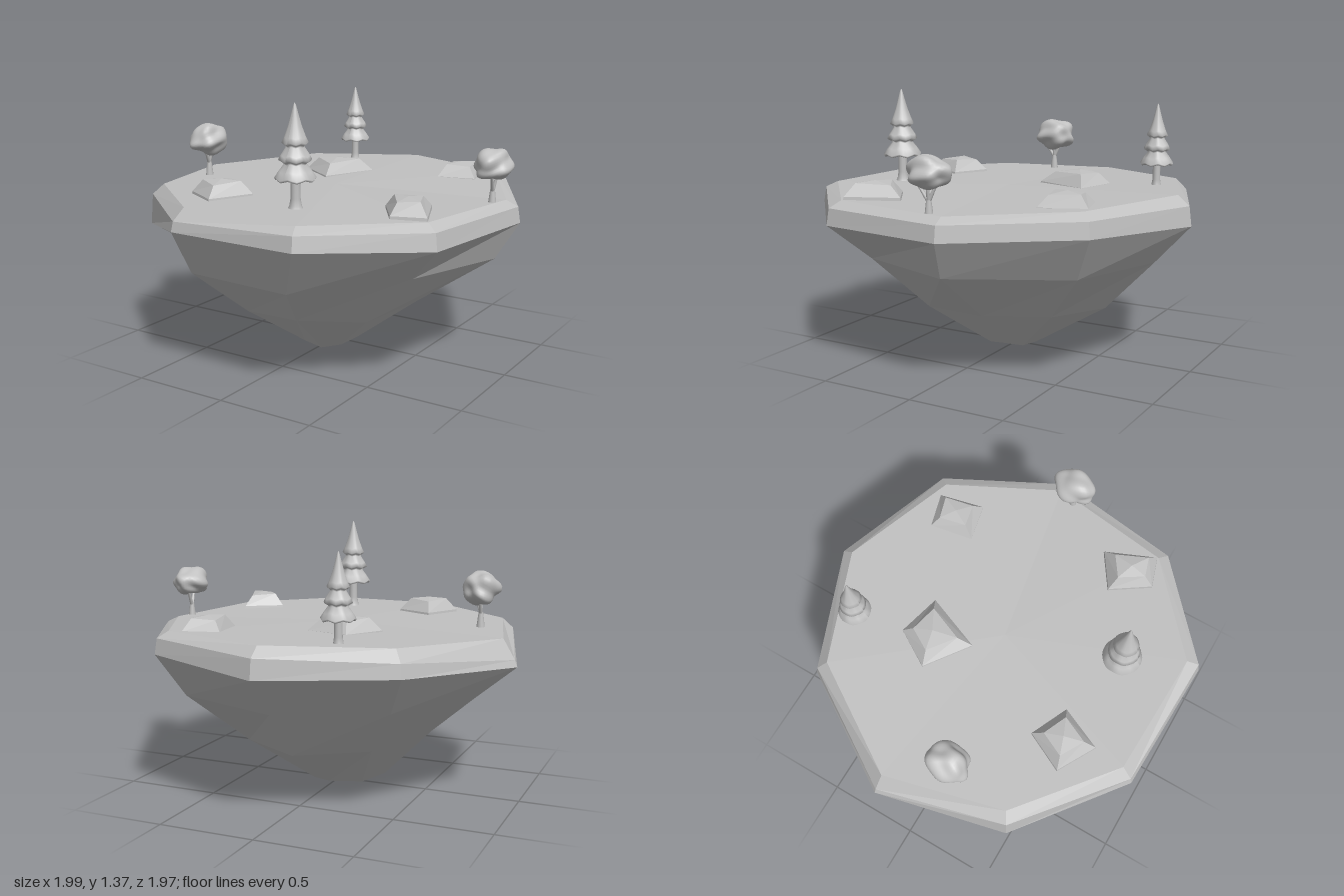
import * as THREE from 'three';
import { mergeVertices } from 'three/addons/utils/BufferGeometryUtils.js';

const stone = new THREE.MeshStandardMaterial({ color: 0xc0c0c0 });
stone.name = 'plain grey';

function part(name, geometry, parent) {
  const mesh = new THREE.Mesh(geometry, stone);
  mesh.name = name;
  parent.add(mesh);
  return mesh;
}

// Faceted solid through rings of [x, y, z] points (clockwise from above), bottom to top, capped at both ends
function loft(rings, topLift = 0) {
  const out = [];
  const n = rings[0].length;
  const tri = (...pts) => pts.forEach((p) => out.push(...p));
  const centre = (ring, lift) => {
    const c = [0, lift, 0];
    ring.forEach((p) => p.forEach((v, k) => { c[k] += v / n; }));
    return c;
  };
  const last = rings[rings.length - 1];
  const low = centre(rings[0], 0), high = centre(last, topLift);
  for (let i = 0; i < n; i++) {
    const j = (i + 1) % n;
    tri(low, rings[0][i], rings[0][j]);
    tri(high, last[j], last[i]);
    for (let k = 0; k < rings.length - 1; k++) {
      const a = rings[k], b = rings[k + 1];
      tri(a[j], a[i], b[i]);
      tri(a[j], b[i], b[j]);
    }
  }
  const g = new THREE.BufferGeometry();
  g.setAttribute('position', new THREE.Float32BufferAttribute(out, 3));
  g.computeVertexNormals();
  return g;
}

// Nine-sided island tapering down to a small foot
function addIsland(parent) {
  const foot = [[0, .02, -.13], [.1, .02, -.1], [.14, .03, 0], [.1, .01, .1], [.02, 0, .17],
    [-.1, .01, .15], [-.2, .025, .08], [-.27, .06, 0], [-.18, .03, -.1]];
  const lower = [[.02, .27, -.54], [.34, .28, -.39], [.46, .27, -.06], [.38, .25, .31], [.15, .3, .59],
    [-.19, .27, .53], [-.4, .3, .3], [-.56, .35, -.1], [-.34, .29, -.38]];
  const middle = [[.01, .54, -.8], [.56, .55, -.64], [.88, .56, -.1], [.7, .56, .43], [.27, .52, .84],
    [-.3, .53, .83], [-.66, .53, .4], [-.79, .55, -.12], [-.52, .55, -.6]];
  const rim = [[.01, .74, -.985], [.665, .77, -.75], [.99, .75, -.145], [.885, .745, .555], [.4, .765, .98],
    [-.31, .76, .955], [-.83, .65, .53], [-1, .725, -.14], [-.62, .75, -.74]];
  const edgeY = [.84, .85, .83, .83, .84, .81, .81, .76, .82];
  const shoulder = rim.map(([x, , z], i) => [x * .987, edgeY[i], z * .987]);
  const lawnY = [.89, .885, .86, .865, .87, .87, .865, .86, .88];
  const lawn = rim.map(([x, , z], i) => [x * .925, lawnY[i], z * .925]);
  part('island', loft([foot, lower, middle, rim, shoulder, lawn]), parent);
}

// Low four-sided boulder with a smaller, slightly peaked top
function addRock(corners, parent) {
  const cx = corners.reduce((s, c) => s + c[0], 0) / 4;
  const cz = corners.reduce((s, c) => s + c[1], 0) / 4;
  const ring = (scale, y, dy) => corners.map(([x, z], i) =>
    [cx + (x - cx) * scale, y + (i % 2) * dy, cz + (z - cz) * scale]);
  part('rock', loft([ring(1, .85, 0), ring(.96, .88, 0), ring(.6, .935, .008)], .012), parent);
}

// Three-tier conifer with a gently wavy hem
function addConifer(x, z, height, width, parent) {
  const tree = new THREE.Group();
  tree.name = 'conifer';
  const trunk = [[.037, 0], [.03, .015], [.024, .05], [.023, .16]].map((p) => new THREE.Vector2(...p));
  part('coniferTrunk', new THREE.LatheGeometry(trunk, 12), tree);
  const profile = [[0, .15], [.05, .142], [.093, .138], [.1, .148], [.08, .178], [.054, .212], [.062, .222],
    [.08, .232], [.07, .252], [.044, .292], [.05, .302], [.064, .312], [.052, .335], [.032, .39],
    [.018, .44], [.006, .485], [0, .495]].map((p) => new THREE.Vector2(...p));
  const g = new THREE.LatheGeometry(profile, 28);
  const pos = g.attributes.position;
  for (let i = 0; i < pos.count; i++) {
    const px = pos.getX(i), pz = pos.getZ(i), r = Math.hypot(px, pz);
    pos.setY(i, pos.getY(i) + .06 * r * Math.sin(7 * Math.atan2(px, pz)));
  }
  g.computeVertexNormals();
  part('coniferFoliage', g, tree);
  tree.position.set(x, .868, z);
  tree.scale.set(width, height / .495, width);
  parent.add(tree);
}

// Broadleaf tree: forked trunk under a lumpy crown
function addRoundTree(x, y, z, size, crownHeight, phase, parent) {
  const tree = new THREE.Group();
  tree.name = 'roundTree';
  part('trunk', new THREE.CylinderGeometry(.012, .022, .08, 10).translate(0, .035, 0), tree);
  const up = new THREE.Vector3(0, 1, 0);
  for (const [bx, bz] of [[.015, .05], [-.005, -.04], [.02, -.005]]) {
    const from = new THREE.Vector3(0, .065, 0), to = new THREE.Vector3(bx, .15, bz);
    const dir = to.clone().sub(from);
    const branch = part('branch', new THREE.CylinderGeometry(.007, .01, dir.length(), 8), tree);
    branch.position.copy(from).add(to).multiplyScalar(.5);
    branch.quaternion.setFromUnitVectors(up, dir.normalize());
  }
  let g = new THREE.IcosahedronGeometry(1, 7);
  g.deleteAttribute('normal');
  g.deleteAttribute('uv');
  g = mergeVertices(g);
  const pos = g.attributes.position, v = new THREE.Vector3();
  for (let i = 0; i < pos.count; i++) {
    v.fromBufferAttribute(pos, i);
    const bump = .09 * Math.sin(4.3 * v.x + phase) * Math.cos(3.7 * v.z - phase)
      + .07 * Math.sin(5.1 * v.y + 3 * v.z + phase) + .05 * Math.cos(6 * v.x - 4 * v.y);
    v.multiplyScalar(.97 + bump);
    if (v.y < 0) v.y *= .8;
    pos.setXYZ(i, v.x * .093, v.y * crownHeight, v.z * .115);
  }
  g.computeVertexNormals();
  part('crown', g, tree).position.set(0, .195, 0);
  tree.position.set(x, y, z);
  tree.scale.setScalar(size);
  parent.add(tree);
}

export function createModel() {
  const model = new THREE.Group();
  model.name = 'floatingIsland';
  addIsland(model);
  const rocks = [
    [[-.23, -.45], [.01, -.39], [-.115, -.08], [-.35, -.25]],
    [[.355, -.64], [.55, -.695], [.605, -.445], [.4, -.4]],
    [[.7, .24], [.815, .51], [.645, .565], [.51, .365]],
    [[-.37, .4], [-.165, .495], [-.27, .725], [-.475, .61]],
  ];
  rocks.forEach((corners) => addRock(corners, model));
  addConifer(.17, .615, .5, 1, model);
  addConifer(-.29, -.68, .438, .84, model);
  addRoundTree(-.735, .865, .15, 1, .098, .6, model);
  addRoundTree(.88, .85, -.045, .98, .088, 2.4, model);
  return model;
}
